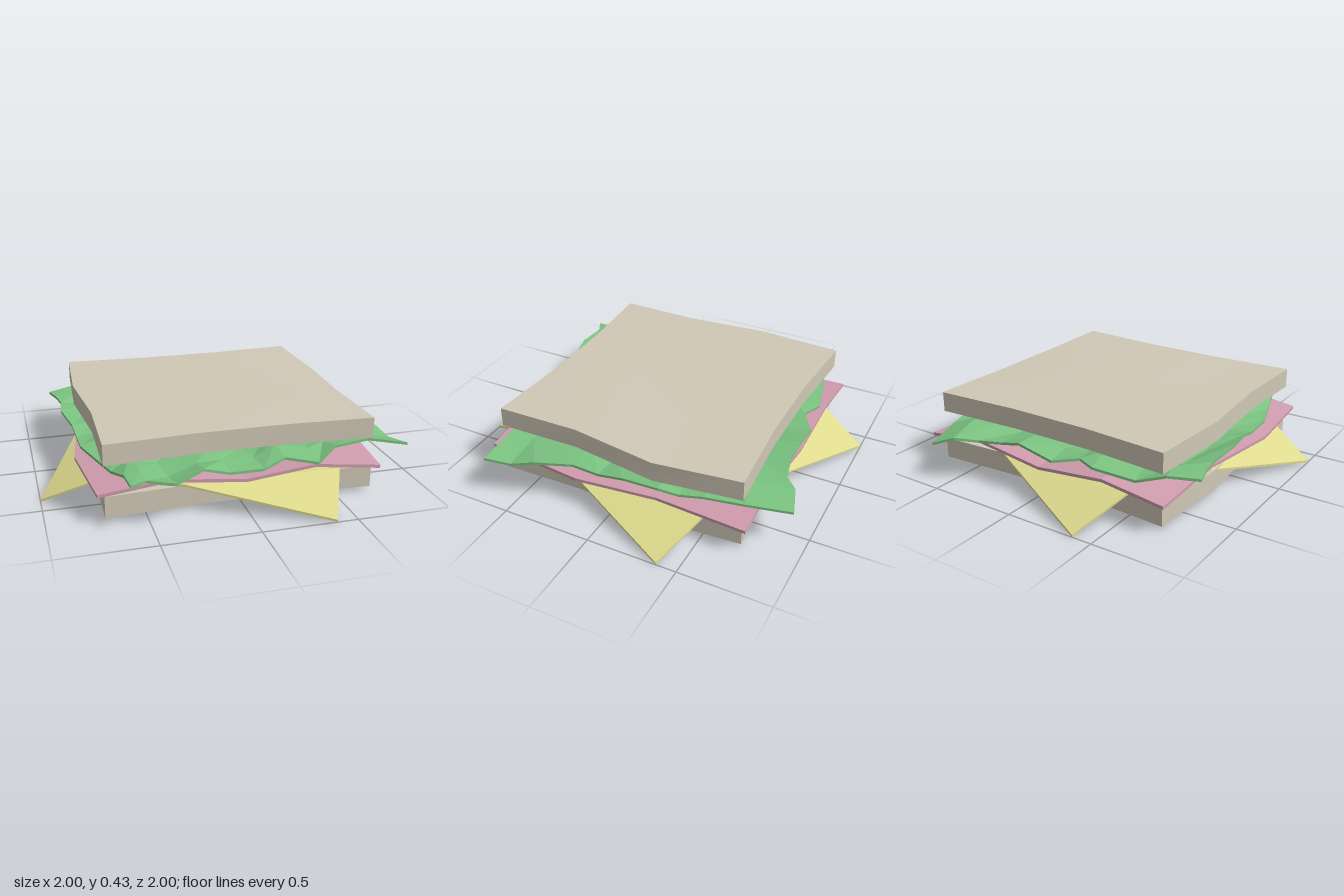
import * as THREE from 'three';
import { toCreasedNormals } from 'three/addons/utils/BufferGeometryUtils.js';

const paint = (name, color) => {
  const m = new THREE.MeshStandardMaterial({ color });
  m.name = name;
  return m;
};

// Closed slab: top points, upward triangles and a counter-clockwise rim, thickened downwards
function slab(points, tris, rim, thickness, crease) {
  const n = points.length, pos = [], idx = [];
  points.forEach(([x, y, z]) => pos.push(x, y, z));
  points.forEach(([x, y, z]) => pos.push(x, y - thickness, z));
  for (const [a, b, c] of tris) idx.push(a, b, c, n + a, n + c, n + b);
  rim.forEach((p, i) => {
    const q = rim[(i + 1) % rim.length];
    idx.push(n + p, n + q, q, n + p, q, p);
  });
  const g = new THREE.BufferGeometry();
  g.setAttribute('position', new THREE.Float32BufferAttribute(pos, 3));
  g.setIndex(idx);
  return toCreasedNormals(g, crease);
}

// Grid slab blended between four borders: back/front run -x to +x, left/right run back to front
function patch({ back, front, left, right }, height, thickness, crease) {
  const nu = back.length - 1, nv = left.length - 1;
  const id = (i, j) => j * (nu + 1) + i;
  const points = [], tris = [], rim = [];
  for (let j = 0; j <= nv; j++) {
    for (let i = 0; i <= nu; i++) {
      const u = i / nu, v = j / nv;
      const at = (k) => (1 - v) * back[i][k] + v * front[i][k]
        + (1 - u) * left[j][k] + u * right[j][k]
        - (1 - u) * (1 - v) * back[0][k] - u * (1 - v) * back[nu][k]
        - (1 - u) * v * front[0][k] - u * v * front[nu][k];
      points.push([at(0), height(i, j), at(1)]);
      if (i < nu && j < nv) {
        tris.push([id(i, j), id(i, j + 1), id(i + 1, j)]);
        tris.push([id(i + 1, j), id(i, j + 1), id(i + 1, j + 1)]);
      }
    }
  }
  for (let i = 0; i < nu; i++) rim.push(id(i, nv));
  for (let j = nv; j > 0; j--) rim.push(id(nu, j));
  for (let i = nu; i > 0; i--) rim.push(id(i, 0));
  for (let j = 0; j < nv; j++) rim.push(id(0, j));
  return slab(points, tris, rim, thickness, crease);
}

const breadEdge = {
  back: [[-0.71, -0.71], [-0.24, -0.68], [0.23, -0.68], [0.7, -0.71]],
  front: [[-0.71, 0.7], [-0.24, 0.67], [0.23, 0.67], [0.7, 0.7]],
  left: [[-0.71, -0.71], [-0.74, -0.23], [-0.7, 0.24], [-0.71, 0.7]],
  right: [[0.7, -0.71], [0.735, -0.23], [0.69, 0.24], [0.7, 0.7]],
};
// Height offsets of the upper slice, back row first
const breadWave = [
  [0, 0, 0, 0],
  [0, 0, 0, -0.023],
  [0, 0, 0.017, 0],
  [0, 0, 0, 0],
];

const hamEdge = {
  back: [[-0.75, -0.77], [-0.4, -0.77], [0, -0.765], [0.4, -0.755], [0.76, -0.75]],
  front: [[-0.75, 0.74], [-0.4, 0.745], [0, 0.75], [0.36, 0.76], [0.72, 0.765]],
  left: [[-0.75, -0.77], [-0.73, -0.25], [-0.8, 0.24], [-0.75, 0.74]],
  right: [[0.76, -0.75], [0.73, -0.25], [0.78, 0.2], [0.72, 0.765]],
};

const lettuceEdge = {
  back: [[-0.85, -0.59], [-0.7, -0.66], [-0.55, -0.7], [-0.33, -0.75], [-0.22, -0.7], [-0.1, -0.78],
    [0.1, -0.79], [0.22, -0.78], [0.36, -0.81], [0.46, -0.89], [0.58, -0.93]],
  front: [[-0.61, 0.88], [-0.53, 0.84], [-0.39, 0.87], [-0.24, 0.81], [-0.1, 0.79], [0.08, 0.78],
    [0.2, 0.74], [0.37, 0.78], [0.5, 0.68], [0.7, 0.65], [0.92, 0.67]],
  left: [[-0.85, -0.59], [-0.82, -0.48], [-0.8, -0.38], [-0.82, -0.18], [-0.78, 0], [-0.77, 0.12],
    [-0.77, 0.28], [-0.7, 0.48], [-0.66, 0.6], [-0.62, 0.75], [-0.61, 0.88]],
  right: [[0.58, -0.93], [0.65, -0.7], [0.7, -0.5], [0.73, -0.38], [0.77, -0.28], [0.79, -0.1],
    [0.79, 0.05], [0.79, 0.2], [0.85, 0.4], [0.88, 0.53], [0.92, 0.67]],
};
const crumple = (i, j) =>
  0.25 + 0.022 * Math.sin(i * 2.3 + j * 0.7) + 0.014 * Math.sin(j * 2.1 - i * 0.9 + 1);

// Square slice turned on the stack, its four corners drooping over the bread edge
function cheeseGeometry() {
  const points = [], tris = [], rim = [], inner = [];
  let [x, z] = [0.39, 1];
  for (let k = 0; k < 4; k++) {
    const [nx, nz] = [z, -x];
    for (const t of [0, 0.21, 0.5]) {
      points.push([x + (nx - x) * t, t ? 0.149 : 0.012, z + (nz - z) * t]);
      rim.push(points.length - 1);
      if (t) inner.push(points.length - 1);
    }
    tris.push([3 * k, 3 * k + 1, (3 * k + 11) % 12]);
    [x, z] = [nx, nz];
  }
  for (let i = 1; i < inner.length - 1; i++) tris.push([inner[0], inner[i], inner[i + 1]]);
  return slab(points, tris, rim, 0.012, 0.1);
}

export function createModel() {
  const group = new THREE.Group();
  group.name = 'sandwich';
  const bread = paint('bread', 0xd0c8b6);
  const add = (name, geometry, material) => {
    const mesh = new THREE.Mesh(geometry, material);
    mesh.name = name;
    group.add(mesh);
  };

  add('bottomBread', patch(breadEdge, () => 0.135, 0.115, 0.5), bread);
  add('cheese', cheeseGeometry(), paint('cheese yellow', 0xdedb8e));
  add('ham', patch(hamEdge, (i) => (i % 2 ? 0.212 : 0.168), 0.017, 0.05), paint('ham pink', 0xd09cae));
  add('lettuce', patch(lettuceEdge, crumple, 0.014, 0.02), paint('lettuce green', 0x7ac280));
  add('topBread', patch(breadEdge, (i, j) => 0.408 + breadWave[j][i], 0.11, 0.5), bread);
  return group;
}
